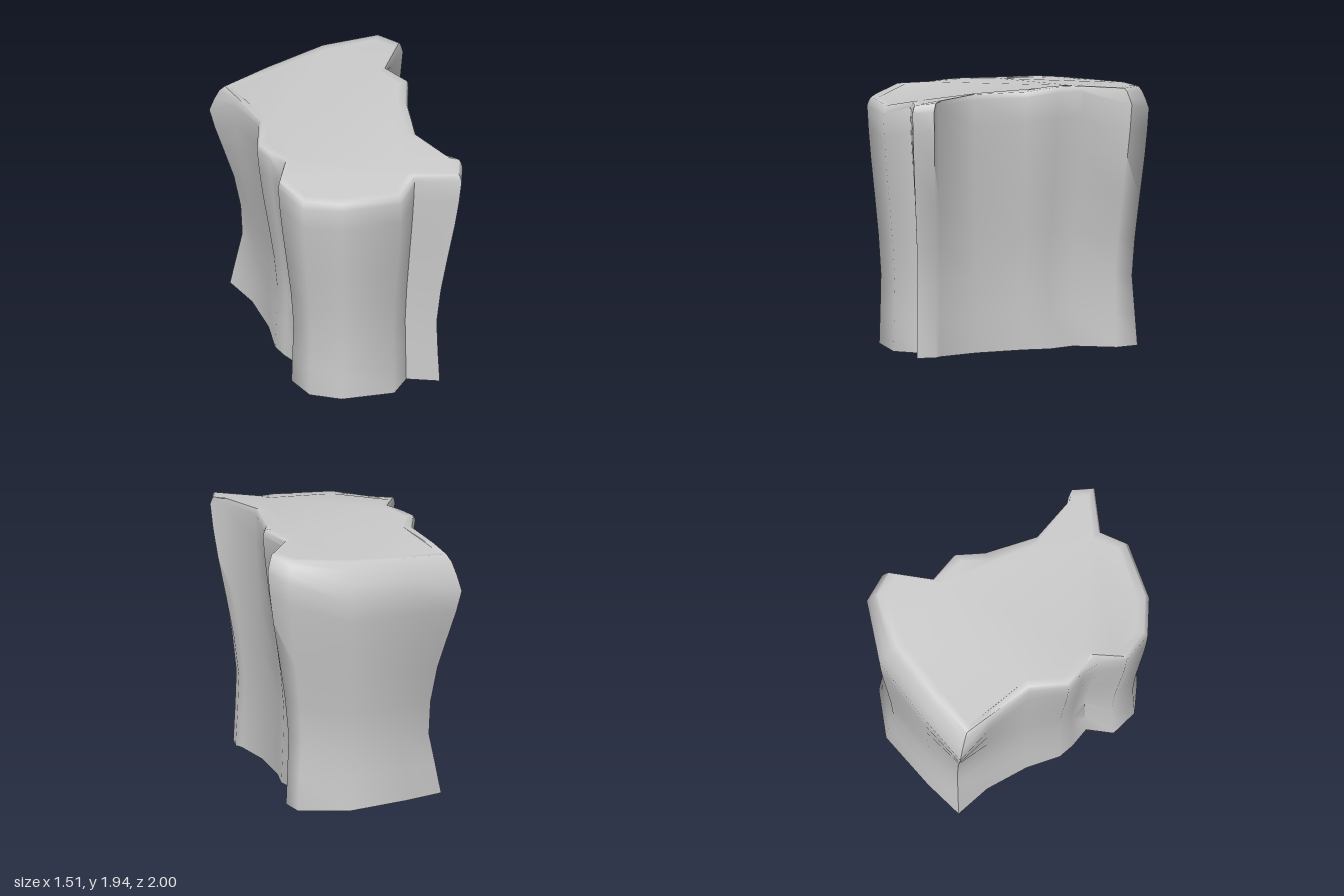
import * as THREE from 'three';
import { toCreasedNormals } from 'three/addons/utils/BufferGeometryUtils.js';

// Widest outline: x, z, x scale at the waist, bevel at the rim, extra flare at the foot, curve of the taper
const OUTLINE = [
  [-0.76, -0.74, 0.70, 0.13, 0.25, 1.7], [-0.37, -0.87, 0.82, 0.12, 0.2], [0.14, -1.0, 0.85, 0.13, 0.4],
  [0.57, -0.92, 0.80, 0.08, 0.2], [0.69, -0.75, 0.75, 0.06], [0.49, -0.44, 0.76, 0.02],
  [0.60, -0.22, 0.73, 0.02], [0.54, 0, 0.79, 0.02], [0.51, 0.40, 0.90, 0.02],
  [0.68, 0.73, 0.78, 0.02], [0.755, 0.78, 0.74, 0.03], [0.71, 0.93, 0.77, 0.03],
  [0.38, 0.84, 0.87, 0.02], [0.24, 1.0, 0.86, 0.03], [-0.20, 0.98, 0.88, 0.03],
  [-0.46, 0.86, 0.83, 0.03], [-0.59, 0.64, 0.78, 0.025], [-0.52, 0.45, 0.68, 0.06],
  [-0.57, 0.30, 0.76, 0.02], [-0.63, 0.17, 0.75, 0.02], [-0.55, -0.11, 0.85, 0.02],
  [-0.65, -0.47, 0.77, 0.04],
];
// Wall levels: height fraction, and blend from waist (0) to widest (1)
const LEVELS = [[0, 0.12], [0.14, 0.05], [0.29, 0], [0.45, 0.17], [0.62, 0.45], [0.78, 0.73], [0.9, 0.9], [1, 1]];
// Rim levels: fraction of inset, fraction of rise, and extra inset onto the top
const RIM = [[0.3, 0.42, 0], [0.65, 0.8, 0], [1, 1, 0], [1, 1, 0.06]];

// Tilted top that dips toward the front and is highest at the right side
function crownHeight(x, z) {
  const dip = THREE.MathUtils.clamp((z - 0.6) / 0.25, 0, 1) * (x < 0.35 ? 0.07 : 0.04);
  const step = x > 0 && z > -0.1 ? 0.03 : 0;
  const backFall = 0.03 * THREE.MathUtils.clamp((-z - 0.25) / 0.5, 0, 1);
  return 1.895 + 0.08 * x - dip - step - backFall;
}

function buildRings() {
  const rings = [];
  for (const [h, t] of LEVELS) {
    rings.push(OUTLINE.map(([x, z, waist, bevel, flare = 0, curve = 1]) => {
      const blend = h < 0.2 ? t + flare * (1 - h * 3) : t ** curve;
      const y = h * (crownHeight(x, z) - 2 * bevel);
      return new THREE.Vector3(x * THREE.MathUtils.lerp(waist, 1, blend), y, z * THREE.MathUtils.lerp(0.9, 1, blend));
    }));
  }
  for (const [inset, rise, extra] of RIM) {
    rings.push(OUTLINE.map(([x, z, , bevel]) => {
      const k = 1 - (inset * bevel + extra) / Math.hypot(x, z);
      return new THREE.Vector3(x * k, crownHeight(x, z) - 2 * bevel * (1 - rise), z * k);
    }));
  }
  return rings;
}

function buildRock() {
  const rings = buildRings();
  const n = OUTLINE.length;
  const positions = [];
  const tri = (...corners) => corners.forEach((p) => positions.push(p.x, p.y, p.z));

  // Walls and bevelled rim
  for (let r = 0; r < rings.length - 1; r++) {
    for (let i = 0; i < n; i++) {
      const j = (i + 1) % n;
      const low = rings[r], high = rings[r + 1];
      tri(low[i], high[i], high[j]);
      tri(low[i], high[j], low[j]);
    }
  }

  // Top surface, every triangle turned upward
  const crown = rings[rings.length - 1];
  const flat = crown.map((p) => new THREE.Vector2(p.x, p.z));
  for (const [i, j, k] of THREE.ShapeUtils.triangulateShape(flat, [])) {
    const a = crown[i], b = crown[j], c = crown[k];
    const up = (b.z - a.z) * (c.x - a.x) - (b.x - a.x) * (c.z - a.z);
    if (up > 0) tri(a, b, c);
    else tri(a, c, b);
  }

  const geometry = new THREE.BufferGeometry();
  geometry.setAttribute('position', new THREE.Float32BufferAttribute(positions, 3));
  return toCreasedNormals(geometry, 1.08);
}

export function createModel() {
  const group = new THREE.Group();
  group.name = 'rockColumn';
  // Hollow shell, open underneath
  const material = new THREE.MeshStandardMaterial({ color: 0xcccccc, side: THREE.DoubleSide });
  const rock = new THREE.Mesh(buildRock(), material);
  rock.name = 'rockShell';
  group.add(rock);
  return group;
}
